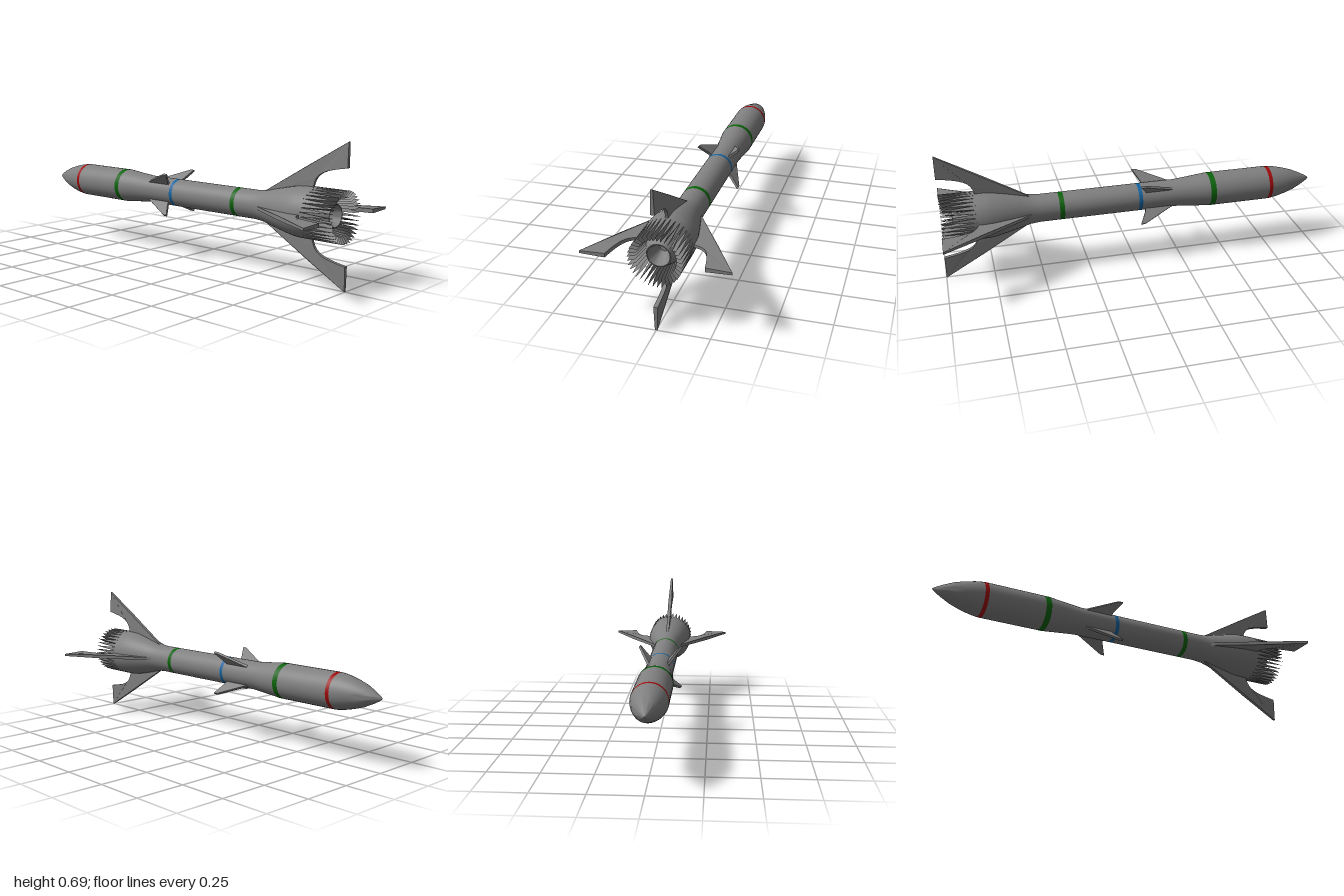
import * as THREE from 'three';
import { toCreasedNormals } from 'three/addons/utils/BufferGeometryUtils.js';

const AXIS_Y = 0.345;
const mat = (name, color, side = THREE.FrontSide) => {
  const m = new THREE.MeshStandardMaterial({ color, side });
  m.name = name;
  return m;
};

export function createModel() {
  const grey = mat('hull grey', 0x808080, THREE.DoubleSide);
  const red = mat('band red', 0xa00808);
  const green = mat('band green', 0x0a640a);
  const blue = mat('band blue', 0x1464a0);

  const model = new THREE.Group();
  model.name = 'missile';
  const add = (name, geometry, material) => {
    const mesh = new THREE.Mesh(geometry, material);
    mesh.name = name;
    mesh.position.y = AXIS_Y;
    model.add(mesh);
    return mesh;
  };

  // Turned section along x from [x, radius] pairs
  const turned = (name, profile, material) => {
    const g = new THREE.LatheGeometry(profile.map(([x, r]) => new THREE.Vector2(r, x)), 36);
    g.rotateZ(-Math.PI / 2);
    add(name, toCreasedNormals(g, 0.5), material);
  };

  // Hull sections, with the painted bands between them
  turned('nose', [[-1, 0], [-0.985, 0.012], [-0.95, 0.031], [-0.9, 0.054], [-0.85, 0.07],
    [-0.8, 0.082], [-0.76, 0.088]], grey);
  turned('redBand', [[-0.76, 0.088], [-0.74, 0.089]], red);
  turned('warheadSection', [[-0.74, 0.089], [-0.44, 0.089]], grey);
  turned('frontGreenBand', [[-0.44, 0.089], [-0.41, 0.089]], green);
  turned('taperSection', [[-0.41, 0.089], [-0.32, 0.08], [-0.23, 0.072], [-0.04, 0.072]], grey);
  turned('blueBand', [[-0.04, 0.072], [-0.02, 0.072]], blue);
  turned('motorSection', [[-0.02, 0.072], [0.373, 0.072]], grey);
  turned('rearGreenBand', [[0.373, 0.072], [0.398, 0.072]], green);
  turned('flaredTail', [[0.398, 0.072], [0.5, 0.072], [0.55, 0.077], [0.6, 0.09], [0.68, 0.109],
    [0.74, 0.121], [0.78, 0.124], [0.82, 0.124], [0.85, 0.09]], grey);
  turned('nozzle', [[0.85, 0.09], [0.94, 0.056], [0.94, 0.052], [0.86, 0.02], [0.86, 0]], grey);

  // Ring of pointed wedge petals around the nozzle
  const COUNT = 36;
  const half = Math.PI / COUNT;
  const pos = [];
  for (let i = 0; i < COUNT; i++) {
    const a = i * 2 * half + half;
    const p = (x, r, da) => [x, r * Math.cos(a + da), r * Math.sin(a + da)];
    const L = p(0.82, 0.124, -half), R = p(0.82, 0.124, half), inner = p(0.82, 0.07, 0);
    const tipOut = p(1, 0.124, 0), tipIn = p(0.98, 0.092, 0);
    for (const t of [[L, tipOut, R], [L, inner, tipIn], [L, tipIn, tipOut],
      [R, tipIn, inner], [R, tipOut, tipIn]]) pos.push(...t.flat());
  }
  const petals = new THREE.BufferGeometry();
  petals.setAttribute('position', new THREE.Float32BufferAttribute(pos, 3));
  petals.computeVertexNormals();
  add('nozzlePetals', petals, grey);

  // Fin plate in the x/radius plane, its thickness varying with radius
  const finGeometry = (shape, thickness) => {
    const g = new THREE.ExtrudeGeometry(shape, { depth: 1, bevelEnabled: false, curveSegments: 8 });
    g.translate(0, 0, -0.5);
    const v = g.attributes.position;
    for (let i = 0; i < v.count; i++) v.setZ(i, v.getZ(i) * thickness(v.getY(i)));
    g.computeVertexNormals();
    return g;
  };

  // Large swept tail fins with a curved trailing notch
  const tail = new THREE.Shape();
  tail.moveTo(0.5, 0.05);
  tail.lineTo(0.82, 0.05);
  tail.lineTo(0.82, 0.13);
  tail.bezierCurveTo(0.835, 0.19, 0.87, 0.205, 1, 0.226);
  tail.lineTo(1, 0.345);
  tail.lineTo(0.797, 0.226);
  tail.closePath();
  const tailGeometry = finGeometry(tail, r => r < 0.226
    ? 0.014 + 0.006 * THREE.MathUtils.smoothstep(r, 0.15, 0.226)
    : 0.02 - 0.008 * (r - 0.226) / 0.119);

  // Small control fins, turned 45 degrees from the tail fins
  const control = new THREE.Shape();
  [[-0.21, 0.06], [-0.06, 0.06], [-0.055, 0.085], [-0.02, 0.154], [-0.045, 0.152], [-0.2, 0.074]]
    .forEach(([x, r], i) => (i ? control.lineTo(x, r) : control.moveTo(x, r)));
  control.closePath();
  const controlGeometry = finGeometry(control, r => 0.014 - 0.03 * Math.max(0, r - 0.06));

  for (let i = 0; i < 4; i++) {
    add('tailFin' + (i + 1), tailGeometry, grey).rotation.x = i * Math.PI / 2;
    add('controlFin' + (i + 1), controlGeometry, grey).rotation.x = (i + 0.5) * Math.PI / 2;
  }
  return model;
}
